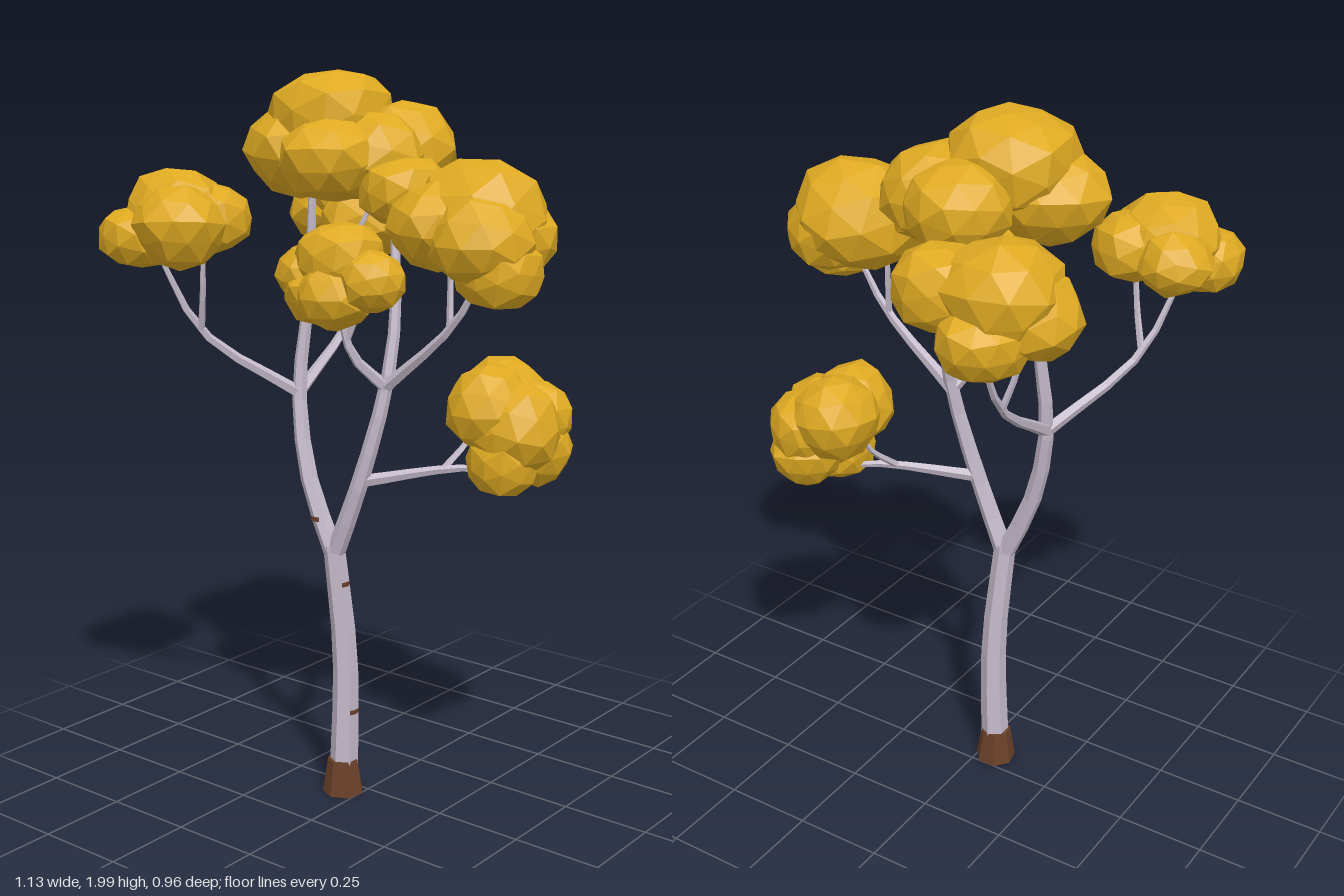
import * as THREE from 'three';

function material(name, color) {
  const mat = new THREE.MeshStandardMaterial({ color, flatShading: true });
  mat.name = name;
  return mat;
}
const leafMat = material('golden leaves', 0xdfaa22);
const barkMat = material('pale bark', 0xc4bac9);
const brownMat = material('dark bark', 0x6a4029);

const vec = (x, y, z) => new THREE.Vector3(x, y, z);

// Tapered limb swept along a smooth path
function limb(name, points, r0, r1, sides) {
  const curve = new THREE.CatmullRomCurve3(points);
  const segs = points.length * 2;
  const geo = new THREE.TubeGeometry(curve, segs, 1, sides);
  const pos = geo.attributes.position;
  const v = vec();
  for (let k = 0; k < pos.count; k++) {
    const t = Math.floor(k / (sides + 1)) / segs;
    const c = curve.getPointAt(t);
    v.fromBufferAttribute(pos, k).sub(c).multiplyScalar(THREE.MathUtils.lerp(r0, r1, t)).add(c);
    pos.setXYZ(k, v.x, v.y, v.z);
  }
  const mesh = new THREE.Mesh(geo, barkMat);
  mesh.name = name;
  mesh.userData.curve = curve;
  return mesh;
}

// Side limb that first reaches outward, then turns up to its tip;
// rise is the share of the height gained at the elbow
function sideLimb(name, from, tip, r, rise = 0.45) {
  const elbow = from.clone().lerp(tip, 0.68);
  elbow.y = THREE.MathUtils.lerp(from.y, tip.y, rise);
  return limb(name, [from, elbow, tip], r, 0.006, 5);
}

// Faceted, slightly irregular ball of leaves
function leafBall(radius, squash, seed) {
  const geo = new THREE.IcosahedronGeometry(1, 1);
  geo.rotateY(seed * 1.7).rotateX(seed * 0.9);
  const pos = geo.attributes.position;
  const v = vec();
  for (let i = 0; i < pos.count; i++) {
    v.fromBufferAttribute(pos, i);
    const bump = Math.sin(v.x * 5 + seed) + Math.sin(v.y * 6 + seed * 2) + Math.sin(v.z * 5 + seed * 3);
    v.multiplyScalar(radius * (1.01 + bump * 0.035));
    pos.setXYZ(i, v.x, v.y * squash, v.z);
  }
  geo.computeVertexNormals();
  const mesh = new THREE.Mesh(geo, leafMat);
  mesh.name = 'leafBall';
  return mesh;
}

// Group of overlapping leaf balls, each given as centre x, y, z and radius
function leafClump(name, squash, balls) {
  const clump = new THREE.Group();
  clump.name = name;
  balls.forEach(([x, y, z, r], i) => {
    const ball = leafBall(r, squash, i + 1 + name.length);
    ball.position.set(x, y, z);
    clump.add(ball);
  });
  return clump;
}

// Thin dark scar wrapped partly around a limb
function scar(parent, t, r, start) {
  const geo = new THREE.CylinderGeometry(r, r, 0.013, 3, 1, true, start, 1);
  const mesh = new THREE.Mesh(geo, brownMat);
  mesh.name = 'barkScar';
  mesh.position.copy(parent.userData.curve.getPointAt(t));
  return mesh;
}

export function createModel() {
  const tree = new THREE.Group();
  tree.name = 'tree';

  // Trunk with its two main forks
  const split = vec(-0.063, 0.7, 0.069);
  const rightKnot = vec(-0.2, 1.13, 0.05);
  const leftKnot = vec(0.09, 1.18, 0.04);
  const trunk = limb('trunk', [vec(-0.05, 0, 0.05), vec(-0.042, 0.4, 0.05), vec(-0.065, 0.73, 0.07)], 0.041, 0.03, 6);
  const rightFork = limb('rightFork',
    [split, vec(-0.15, 0.9, 0.07), rightKnot, vec(-0.185, 1.4, 0.025), vec(-0.17, 1.76, 0.02)], 0.028, 0.009, 6);
  const leftFork = limb('leftFork',
    [split, vec(0.02, 0.9, 0.07), leftKnot, vec(0.09, 1.37, 0), vec(0.04, 1.74, -0.05)], 0.027, 0.009, 6);
  tree.add(trunk, rightFork, leftFork);

  // Side branches, each with one twig: start, branch tip, twig tip, rise
  const branches = [
    [rightKnot, vec(-0.43, 1.55, 0.36), vec(-0.31, 1.58, 0.3), 0.43],
    [rightKnot, vec(-0.24, 1.54, -0.35), vec(-0.28, 1.56, -0.2), 0.45],
    [leftKnot, vec(0.41, 1.54, 0.04), vec(0.28, 1.6, 0.02), 0.53],
    [leftKnot, vec(0.02, 1.45, 0.16), vec(0.08, 1.47, 0.13), 0.35],
    [vec(0.025, 0.92, 0.068), vec(0.36, 0.95, -0.16), vec(0.25, 1.13, -0.18), 1.4],
  ];
  for (const [from, tip, twigTip, rise] of branches) {
    const branch = sideLimb('branch', from, tip, 0.018, rise);
    tree.add(branch, sideLimb('twig', branch.userData.curve.getPointAt(0.55), twigTip, 0.01));
  }
  tree.add(sideLimb('twig', rightFork.userData.curve.getPointAt(0.7), vec(-0.03, 1.74, -0.1), 0.009));

  // Flared dark foot and bark scars
  const foot = new THREE.Mesh(new THREE.CylinderGeometry(0.043, 0.058, 0.1, 7), brownMat);
  foot.name = 'trunkFoot';
  foot.position.set(-0.05, 0.05, 0.05);
  tree.add(foot, scar(trunk, 0.34, 0.038, 1), scar(trunk, 0.85, 0.033, 1), scar(rightFork, 0.1, 0.029, -0.5));

  // Leaf clumps
  tree.add(
    leafClump('crownLeaves', 0.82, [
      [-0.12, 1.865, 0, 0.165], [-0.2, 1.785, 0.04, 0.15], [0.03, 1.79, -0.11, 0.145],
      [-0.07, 1.79, -0.17, 0.14], [-0.04, 1.77, 0.1, 0.135], [0.02, 1.77, 0, 0.14],
      [0.15, 1.69, 0.04, 0.115]]),
    leafClump('frontRightLeaves', 0.82, [
      [-0.4, 1.63, 0.3, 0.135], [-0.47, 1.565, 0.37, 0.105], [-0.34, 1.6, 0.35, 0.13],
      [-0.46, 1.6, 0.22, 0.1], [-0.33, 1.61, 0.25, 0.115]]),
    leafClump('backRightLeaves', 0.88, [
      [-0.27, 1.655, -0.29, 0.155], [-0.33, 1.6, -0.26, 0.125], [-0.13, 1.65, -0.32, 0.125],
      [-0.26, 1.56, -0.36, 0.115], [-0.2, 1.58, -0.24, 0.13]]),
    leafClump('leftLeaves', 0.85, [
      [0.36, 1.63, 0.01, 0.175], [0.46, 1.515, 0.07, 0.11], [0.29, 1.62, 0.1, 0.125],
      [0.42, 1.59, 0.09, 0.135], [0.42, 1.59, -0.03, 0.125]]),
    leafClump('frontLeaves', 0.9, [
      [0.02, 1.52, 0.14, 0.115], [-0.07, 1.475, 0.15, 0.095], [0.03, 1.435, 0.17, 0.105],
      [0.13, 1.475, 0.15, 0.09], [-0.03, 1.435, 0.15, 0.1]]),
    leafClump('lowLeaves', 1, [
      [0.3, 1.14, -0.2, 0.115], [0.38, 1.08, -0.13, 0.125], [0.37, 0.995, -0.1, 0.095],
      [0.4, 1.02, -0.21, 0.1], [0.32, 1.13, -0.1, 0.115], [0.39, 1.1, -0.22, 0.1]]),
  );
  return tree;
}
